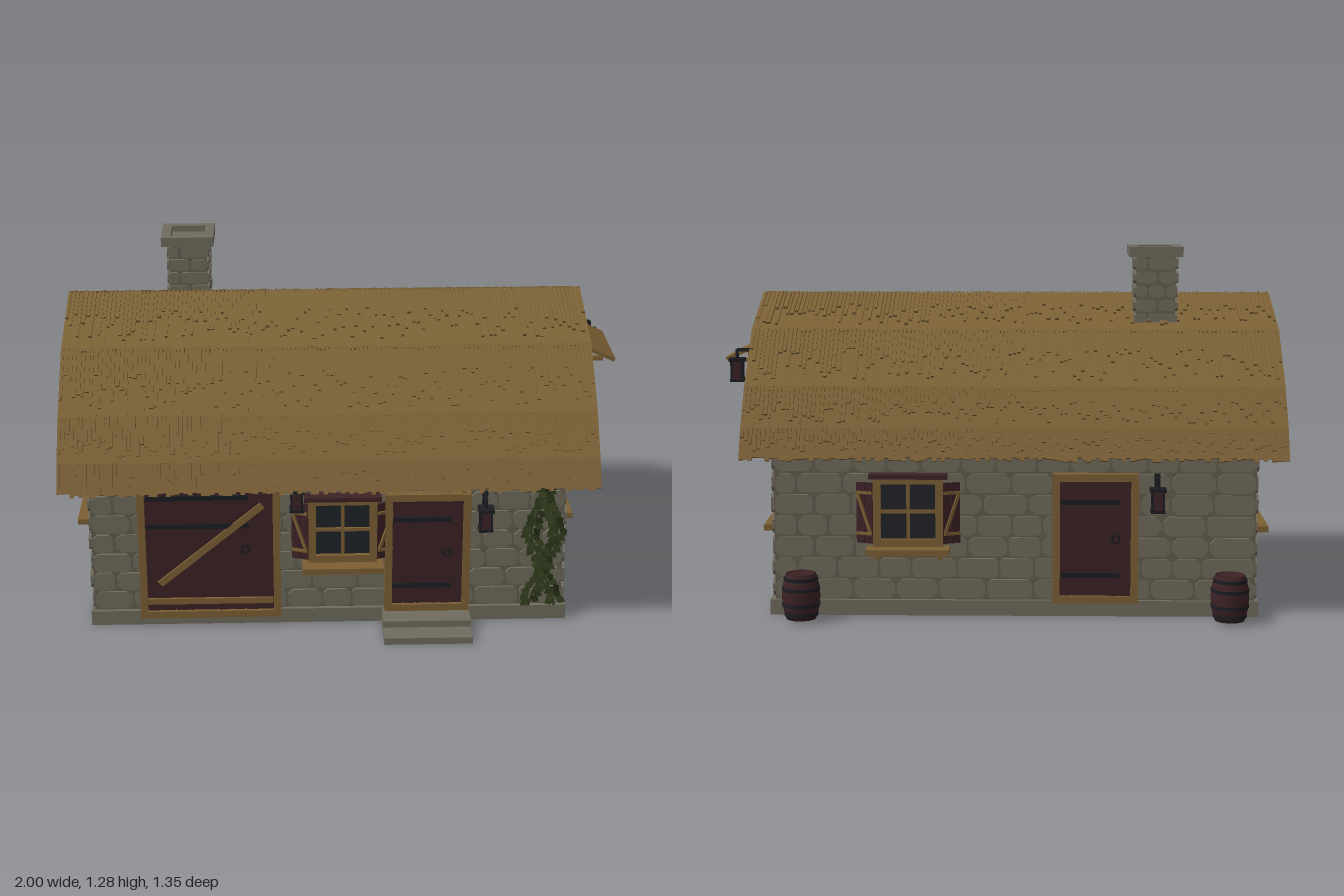
import * as THREE from 'three';
import { mergeGeometries } from 'three/addons/utils/BufferGeometryUtils.js';

const mat = (name, color, side = THREE.FrontSide) => {
  const m = new THREE.MeshStandardMaterial({ color, side });
  m.name = name;
  return m;
};

export function createModel() {
  const M = {
    thatch: mat('thatch', 0x7c6237),
    timber: mat('timber', 0x7c5f34),
    wood: mat('dark red wood', 0x3c2225),
    stone: mat('stone', 0x706b5d),
    mortar: mat('mortar', 0x625d4e),
    glass: mat('window glass', 0x202427),
    iron: mat('iron', 0x1c1d22),
    ivy: mat('ivy', 0x2c3619, THREE.DoubleSide),
  };
  let seed = 7;
  const rnd = (a = 0, b = 1) => {
    seed = (seed * 16807) % 2147483647;
    return a + (b - a) * (seed / 2147483647);
  };
  const house = new THREE.Group();
  house.name = 'thatchedCottage';

  const add = (parent, name, geo, material, x = 0, y = 0, z = 0) => {
    const m = new THREE.Mesh(geo, material);
    m.name = name;
    m.position.set(x, y, z);
    parent.add(m);
    return m;
  };
  const box = (parent, name, material, w, h, d, x, y, z) =>
    add(parent, name, new THREE.BoxGeometry(w, h, d), material, x, y, z);
  const group = (parent, name, x = 0, y = 0, z = 0, ry = 0) => {
    const g = new THREE.Group();
    g.name = name;
    g.position.set(x, y, z);
    g.rotation.y = ry;
    parent.add(g);
    return g;
  };

  // One block with clipped corners, standing proud of the mortar
  const stoneGeo = (x, y, w, h, depth) => {
    const a = w / 2, b = h / 2, c = Math.min(w, h) * rnd(0.14, 0.3);
    const s = new THREE.Shape([[-a + c, -b], [a - c, -b], [a, -b + c], [a, b - c],
      [a - c, b], [-a + c, b], [-a, b - c], [-a, -b + c]].map(p => new THREE.Vector2(...p)));
    return new THREE.ExtrudeGeometry(s, { depth, bevelEnabled: false }).translate(x, y, 0);
  };
  // Staggered courses of blocks from x0 to x1 and y0 to y1
  const masonry = (parent, x0, x1, y0, y1, rows, mean) => {
    const list = [], h = (y1 - y0) / rows, gap = 0.008;
    for (let r = 0; r < rows; r++) {
      let x = x0;
      let w = mean * (r % 2 ? 0.6 : 1.05);
      while (x < x1 - 0.01) {
        if (x1 - x - w < mean * 0.5) w = x1 - x;
        list.push(stoneGeo(x + w / 2, y0 + h * (r + 0.5), w - gap, h - gap, rnd(0.006, 0.012)));
        x += w;
        w = mean * rnd(0.75, 1.25);
      }
    }
    add(parent, 'stoneBlocks', mergeGeometries(list), M.stone);
  };

  // Plinth, walls and wall plate under the eaves
  const CX = -0.0625, CZ = -0.0125, W = 1.69, D = 0.995;
  box(house, 'plinth', M.stone, 1.72, 0.055, 1.025, -0.06, 0.0275, -0.0125);
  box(house, 'wallCore', M.mortar, W, 0.54, D, CX, 0.32, CZ);
  box(house, 'wallPlate', M.wood, W + 0.07, 0.012, D + 0.07, CX, 0.581, CZ);

  // Wall frames: local x runs along the wall, local z points outwards
  const front = group(house, 'frontWall', 0, 0, CZ + D / 2, 0);
  const back = group(house, 'backWall', 0, 0, CZ - D / 2, Math.PI);
  const right = group(house, 'leftSideWall', CX + W / 2, 0, 0, Math.PI / 2);
  const left = group(house, 'rightSideWall', CX - W / 2, 0, 0, -Math.PI / 2);
  masonry(front, CX - W / 2, CX + W / 2, 0.057, 0.585, 7, 0.135);
  masonry(back, -CX - W / 2, -CX + W / 2, 0.057, 0.585, 7, 0.135);
  masonry(right, -CZ - D / 2, -CZ + D / 2, 0.057, 0.585, 7, 0.135);
  masonry(left, CZ - D / 2, CZ + D / 2, 0.057, 0.585, 7, 0.135);

  // Timber frame around an opening
  const frame = (g, w, h, t, d) => {
    for (const s of [-1, 1]) box(g, 'framePost', M.timber, t, h, d, s * (w - t) / 2, h / 2, d / 2);
    box(g, 'frameHead', M.timber, w - 2 * t, t, d, 0, h - t / 2, d / 2);
    box(g, 'frameFoot', M.timber, w - 2 * t, t, d, 0, t / 2, d / 2);
  };
  const planks = (g, w, h, n, y, z) => {
    box(g, 'doorBacking', M.wood, w, h, 0.01, 0, y + h / 2, z - 0.006);
    for (let i = 0; i < n; i++)
      box(g, 'plank', M.wood, w / n - 0.005, h, 0.01, (i + 0.5) * w / n - w / 2, y + h / 2, z);
  };
  const brace = (g, x0, y0, x1, y1, t, z) => {
    const m = box(g, 'brace', M.timber, Math.hypot(x1 - x0, y1 - y0), t, 0.01, (x0 + x1) / 2, (y0 + y1) / 2, z);
    m.rotation.z = Math.atan2(y1 - y0, x1 - x0);
  };
  const ring = (g, x, y, z) =>
    add(g, 'ringHandle', new THREE.TorusGeometry(0.014, 0.004, 6, 16), M.iron, x, y, z);

  const door = (wall, x, y, w, h, n, straps, handleX) => {
    const g = group(wall, 'door', x, y, 0);
    frame(g, w, h, 0.026, 0.036);
    planks(g, w - 0.05, h - 0.04, n, 0.02, 0.019);
    for (const sy of straps)
      box(g, 'hingeStrap', M.iron, w * 0.72, 0.018, 0.008, -w * 0.08, sy, 0.027);
    ring(g, handleX, h * 0.5, 0.03);
    return g;
  };
  const barn = door(front, -0.487, 0.035, 0.505, 0.54, 9, [0.47, 0.36], 0.127);
  box(barn, 'bottomRail', M.timber, 0.45, 0.022, 0.01, 0, 0.065, 0.029);
  brace(barn, -0.18, 0.135, 0.19, 0.44, 0.024, 0.03);
  door(front, 0.292, 0.05, 0.305, 0.46, 6, [0.36, 0.1], 0.07);
  door(back, 0.345, 0.05, 0.3, 0.46, 6, [0.36, 0.1], 0.07);

  // Window with glazing bars, sill, lintel and half-open shutters
  const makeWindow = (wall, x) => {
    const g = group(wall, 'window', x, 0.25, 0);
    const w = 0.245, h = 0.25;
    frame(g, w, h, 0.027, 0.036);
    box(g, 'pane', M.glass, w - 0.05, h - 0.05, 0.008, 0, h / 2, 0.016);
    box(g, 'mullion', M.timber, 0.012, h - 0.05, 0.012, 0, h / 2, 0.024);
    box(g, 'transom', M.timber, w - 0.05, 0.012, 0.012, 0, h / 2, 0.024);
    box(g, 'lintel', M.wood, 0.275, 0.016, 0.05, 0, h, 0.025);
    box(g, 'sill', M.timber, 0.29, 0.022, 0.09, 0, -0.011, 0.045);
    for (const s of [-1, 1]) {
      box(g, 'sillBracket', M.timber, 0.018, 0.022, 0.04, s * 0.11, -0.033, 0.02);
      const sh = group(g, 'shutter', s * 0.122, 0.012, 0.036, s * 0.35);
      for (const k of [0, 1]) box(sh, 'shutterBoard', M.wood, 0.03, 0.215, 0.012, s * (0.016 + k * 0.032), 0.1075, -0.004);
      for (const y of [0.035, 0.18]) box(sh, 'shutterBatten', M.timber, 0.058, 0.01, 0.008, s * 0.032, y, 0.005);
      brace(sh, s * 0.008, 0.04, s * 0.056, 0.175, 0.01, 0.006);
    }
  };
  makeWindow(front, -0.012);
  makeWindow(back, -0.31);
  makeWindow(right, 0.015);
  makeWindow(left, -0.015);

  // Lantern hanging from an iron bracket
  const lantern = (wall, x, y, out = 0.055) => {
    const g = group(wall, 'lantern', x, y, 0);
    box(g, 'wallBracket', M.iron, 0.02, 0.09, 0.01, 0, 0.085, 0.012);
    box(g, 'arm', M.iron, 0.012, 0.012, out, 0, 0.115, out / 2);
    box(g, 'hanger', M.iron, 0.01, 0.035, 0.01, 0, 0.1, out);
    box(g, 'cap', M.iron, 0.056, 0.012, 0.056, 0, 0.08, out);
    box(g, 'lampBody', M.wood, 0.036, 0.066, 0.036, 0, 0.04, out);
    box(g, 'base', M.iron, 0.05, 0.01, 0.05, 0, 0.005, out);
    for (const a of [-1, 1]) for (const b of [-1, 1])
      box(g, 'cornerBar', M.iron, 0.007, 0.07, 0.007, a * 0.019, 0.04, out + b * 0.019);
  };
  lantern(front, -0.175, 0.465);
  lantern(front, 0.495, 0.38);
  lantern(back, 0.56, 0.38);

  // Front steps
  box(house, 'upperStep', M.stone, 0.315, 0.05, 0.13, 0.288, 0.025, 0.535);
  box(house, 'lowerStep', M.stone, 0.315, 0.025, 0.2, 0.288, 0.0125, 0.58);

  // Roof body: curved gable outline drawn along the ridge
  const half = [[0, 1.09], [0.3, 0.985], [0.5, 0.805], [0.6, 0.675], [0.645, 0.588]];
  const outline = [...half.map(([z, y]) => [-z, y]).reverse(), ...half.slice(1)];
  const roof = group(house, 'roof', 0, 0, -0.008);
  add(roof, 'roofBody', new THREE.ExtrudeGeometry(
    new THREE.Shape(outline.map(p => new THREE.Vector2(...p))), { depth: 1.86, bevelEnabled: false })
    .rotateY(Math.PI / 2), M.thatch, -0.99, 0, 0);

  // Thatch: overlapping courses of ragged straw bundles on each slope
  const straw = [];
  const N = 125, step = 1.88 / N;
  for (const s of [-1, 1]) for (let r = 0; r < 4; r++) {
    const [z0, y0] = half[r], [z1, y1] = half[r + 1];
    const len = Math.hypot(z1 - z0, y1 - y0), ang = Math.atan2(y0 - y1, z1 - z0);
    for (let layer = 0; layer < 2; layer++) for (let i = 0; i < N; i++) {
      const L = layer ? len * rnd(0.35, 0.9) : len + rnd(0.004, 0.02);
      const lift = layer ? 0.011 : 0.004;
      const b = new THREE.BoxGeometry(step * (layer ? rnd(0.5, 0.95) : 1), 0.008, L);
      b.translate(0, lift + rnd(0, 0.003), L / 2);
      b.rotateX(ang);
      b.translate(-1 + (i + 0.5) * step, y0, z0);
      if (s < 0) b.rotateY(Math.PI).translate(-0.12, 0, 0);
      straw.push(b);
    }
  }
  add(roof, 'thatchBundles', mergeGeometries(straw), M.thatch);

  // Loft hatch in the gable with its sloping hood
  const loft = group(house, 'loftHatch', 0.87, 0, 0, Math.PI / 2);
  const hatch = group(loft, 'hatch', 0.015, 0.68, 0);
  frame(hatch, 0.23, 0.19, 0.026, 0.055);
  planks(hatch, 0.18, 0.15, 5, 0.02, 0.035);
  for (const y of [0.05, 0.14]) box(hatch, 'hingeStrap', M.iron, 0.13, 0.012, 0.006, -0.02, y, 0.043);
  ring(hatch, 0.05, 0.09, 0.046);
  const hood = box(loft, 'hood', M.timber, 0.31, 0.014, 0.135, 0.015, 0.897, 0.066);
  hood.rotation.x = 0.42;
  for (const s of [-1, 1]) box(loft, 'hoodBracket', M.timber, 0.016, 0.016, 0.09, 0.015 + s * 0.11, 0.862, 0.045);
  lantern(loft, 0.19, 0.79, 0.085);

  // Chimney with a hollow stone cap
  const ch = group(house, 'chimney', -0.565, 0, -0.173);
  box(ch, 'chimneyCore', M.mortar, 0.14, 0.33, 0.14, 0, 1.09, 0);
  for (let i = 0; i < 4; i++) {
    const face = group(ch, 'chimneyFace', 0.07 * Math.sin(i * Math.PI / 2), 0, 0.07 * Math.cos(i * Math.PI / 2), i * Math.PI / 2);
    masonry(face, -0.077, 0.077, 0.95, 1.25, 6, 0.08);
  }
  const sq = (C, a) => new C([[-a, -a], [a, -a], [a, a], [-a, a]].map(p => new THREE.Vector2(...p)));
  const capShape = sq(THREE.Shape, 0.096);
  capShape.holes.push(sq(THREE.Path, 0.062));
  add(ch, 'chimneyCap', new THREE.ExtrudeGeometry(capShape, { depth: 0.035, bevelEnabled: false })
    .rotateX(-Math.PI / 2), M.stone, 0, 1.25, 0);
  box(ch, 'flueFloor', M.stone, 0.13, 0.01, 0.13, 0, 1.258, 0);

  // Barrels behind the house
  const barrel = (x, z) => {
    const g = group(house, 'barrel', x, 0.01, z);
    const pts = [[0, 0], [0.052, 0], [0.063, 0.04], [0.067, 0.08], [0.063, 0.12], [0.052, 0.16], [0.046, 0.16], [0.046, 0.152], [0, 0.152]];
    add(g, 'staves', new THREE.LatheGeometry(pts.map(p => new THREE.Vector2(...p)), 18), M.wood);
    for (const [y, r] of [[0.018, 0.0595], [0.052, 0.0665], [0.108, 0.0665], [0.142, 0.0595]])
      add(g, 'hoop', new THREE.CylinderGeometry(r, r, 0.012, 18), M.iron, 0, y, 0);
  };
  barrel(0.68, -0.607);
  barrel(-0.81, -0.607);

  // Ivy climbing the front corner
  const ivy = group(front, 'ivy', 0.71, 0, 0.014);
  const leafShape = new THREE.Shape([[0, -0.022], [0.014, -0.004], [0.008, 0.012], [0, 0.022], [-0.008, 0.012], [-0.014, -0.004]]
    .map(p => new THREE.Vector2(...p)));
  const leaves = [];
  for (const off of [-0.025, 0.025]) {
    const sway = t => off + 0.022 * Math.sin(t * 11 + off * 60);
    const pts = [];
    for (let i = 0; i <= 10; i++) pts.push(new THREE.Vector3(sway(i / 10), 0.055 + i * 0.052, 0));
    add(ivy, 'stem', new THREE.TubeGeometry(new THREE.CatmullRomCurve3(pts), 30, 0.004, 5), M.ivy);
    for (let i = 0; i < 44; i++) {
      const t = i / 43, s = i % 2 ? 1 : -1;
      leaves.push(new THREE.ShapeGeometry(leafShape).rotateX(rnd(-0.5, 0.3)).rotateY(s * rnd(0.1, 0.7))
        .rotateZ(s * rnd(0.5, 1.1)).translate(sway(t) + s * rnd(0.01, 0.024), 0.075 + t * 0.485, rnd(0.008, 0.02)));
    }
  }
  add(ivy, 'leaves', mergeGeometries(leaves), M.ivy);

  return house;
}
